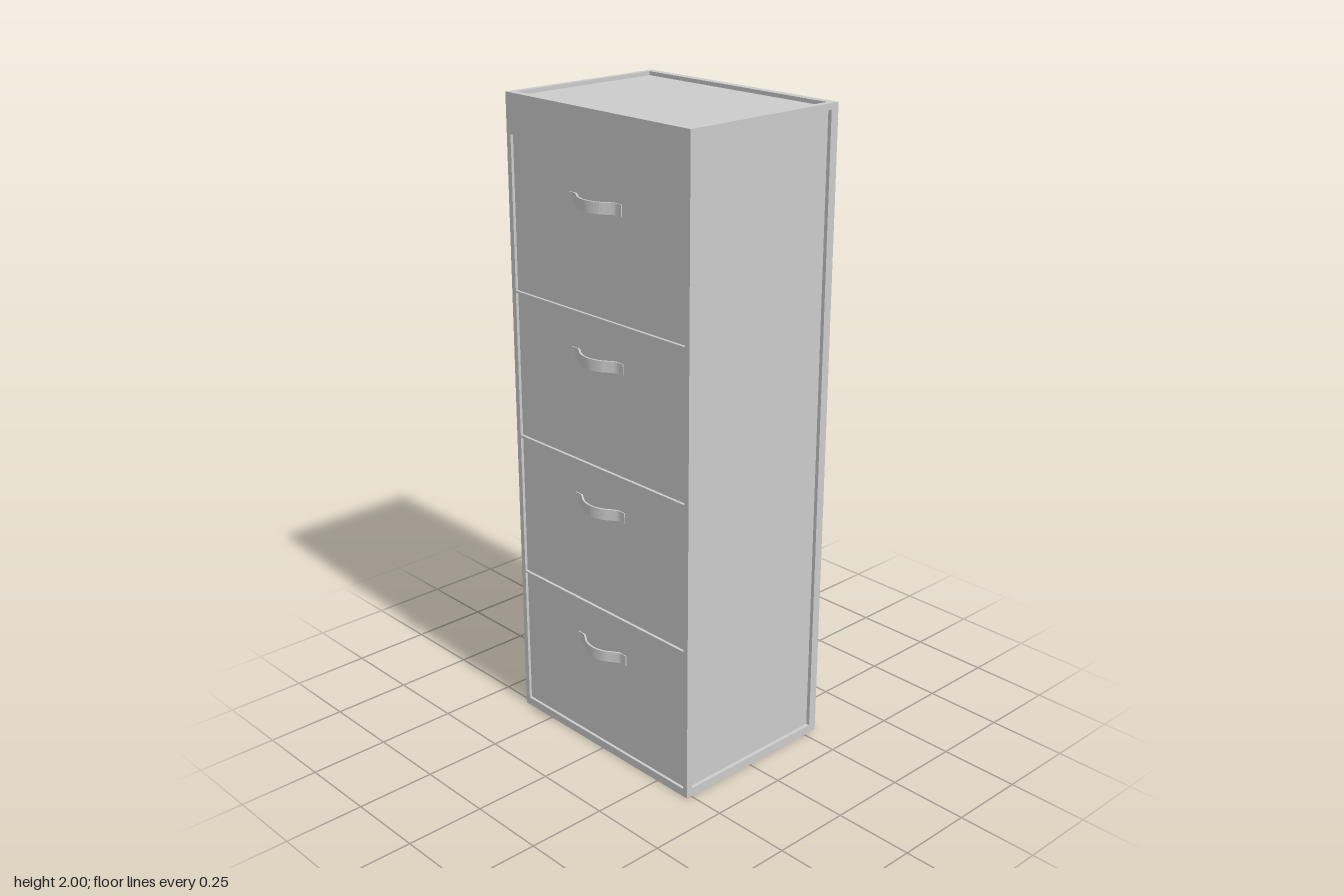
import * as THREE from 'three';

const W = 0.76, H = 2, BACK = -0.3, FRONT = 0.268;
const D = FRONT - BACK, MID = (FRONT + BACK) / 2;
const RECESS = 0.012;
const material = new THREE.MeshStandardMaterial({ color: 0xcccccc, side: THREE.DoubleSide });

function add(parent, name, geometry, x = 0, y = 0, z = 0) {
  const mesh = new THREE.Mesh(geometry, material);
  mesh.name = name;
  mesh.position.set(x, y, z);
  parent.add(mesh);
  return mesh;
}

function rect(path, x0, y0, x1, y1) {
  path.moveTo(x0, y0);
  path.lineTo(x1, y0);
  path.lineTo(x1, y1);
  path.lineTo(x0, y1);
  path.closePath();
  return path;
}

// Flat rim with rectangular openings, RECESS thick; rects are [x0, y0, x1, y1]
function rim(outer, holes) {
  const shape = rect(new THREE.Shape(), ...outer);
  for (const h of holes) shape.holes.push(rect(new THREE.Path(), ...h));
  return new THREE.ExtrudeGeometry(shape, { depth: RECESS, bevelEnabled: false });
}

// Bowed strap with flared ends that lie against the drawer
function handleGeometry() {
  const line = [[-0.11, 0], [-0.085, 0.001], [-0.065, 0.012], [-0.038, 0.029], [0, 0.037],
    [0.038, 0.029], [0.065, 0.012], [0.085, 0.001], [0.11, 0]];
  const curve = new THREE.SplineCurve(line.map(([x, z]) => new THREE.Vector2(x, z)));
  const outer = [], inner = [];
  for (let i = 0; i <= 32; i++) {
    const p = curve.getPoint(i / 32), t = curve.getTangent(i / 32);
    const n = new THREE.Vector2(-t.y, t.x).multiplyScalar(0.003);
    outer.push(p.clone().add(n));
    inner.unshift(p.clone().sub(n));
  }
  const geometry = new THREE.ExtrudeGeometry(new THREE.Shape([...outer, ...inner]),
    { depth: 0.034, bevelEnabled: false });
  geometry.rotateX(Math.PI / 2);
  geometry.translate(0, 0.017, 0);
  return geometry;
}

export function createModel() {
  const model = new THREE.Group();
  model.name = 'filingCabinet';
  const x = W / 2;

  // Inner carcass, showing as the recessed panels
  add(model, 'carcass', new THREE.BoxGeometry(W - 2 * RECESS, H - 2 * RECESS, D - 2 * RECESS), 0, H / 2, MID);

  // Drawer openings: bottom, top and handle height
  const drawers = [
    [0.026, 0.483, 0.35],
    [0.488, 0.944, 0.822],
    [0.951, 1.407, 1.281],
    [1.413, 1.88, 1.738],
  ];
  const dx = 0.363;

  // Rims around the recessed panels on all sides
  add(model, 'frontFrame', rim([-x, 0, x, H], drawers.map(([a, b]) => [-dx, a, dx, b])), 0, 0, FRONT - RECESS);
  add(model, 'backFrame', rim([-x, 0, x, H], [[-0.36, 0.026, 0.36, 1.982]]), 0, 0, BACK);
  for (const side of [-1, 1]) {
    const mesh = add(model, side > 0 ? 'leftFrame' : 'rightFrame',
      rim([-FRONT + RECESS, 0, -BACK - RECESS, H], [[-0.247, 0.026, 0.272, 1.982]]),
      side > 0 ? x - RECESS : -x, 0, 0);
    mesh.rotation.y = Math.PI / 2;
  }
  for (const top of [true, false]) {
    const mesh = add(model, top ? 'topFrame' : 'bottomFrame',
      rim([-x + RECESS, -FRONT + RECESS, x - RECESS, -BACK - RECESS], [[-0.36, -0.245, 0.36, 0.274]]),
      0, top ? H - RECESS : 0, 0);
    mesh.rotation.x = -Math.PI / 2;
  }

  // Drawer fronts with their handles
  const face = FRONT - 0.009;
  const handle = handleGeometry();
  drawers.forEach(([a, b, y], i) => {
    const drawer = new THREE.Group();
    drawer.name = `drawer${i + 1}`;
    add(drawer, 'drawerFront', new THREE.BoxGeometry(2 * dx, b - a, 0.02), 0, (a + b) / 2, face - 0.01);
    add(drawer, 'handle', handle, -0.005, y, face);
    model.add(drawer);
  });
  return model;
}
